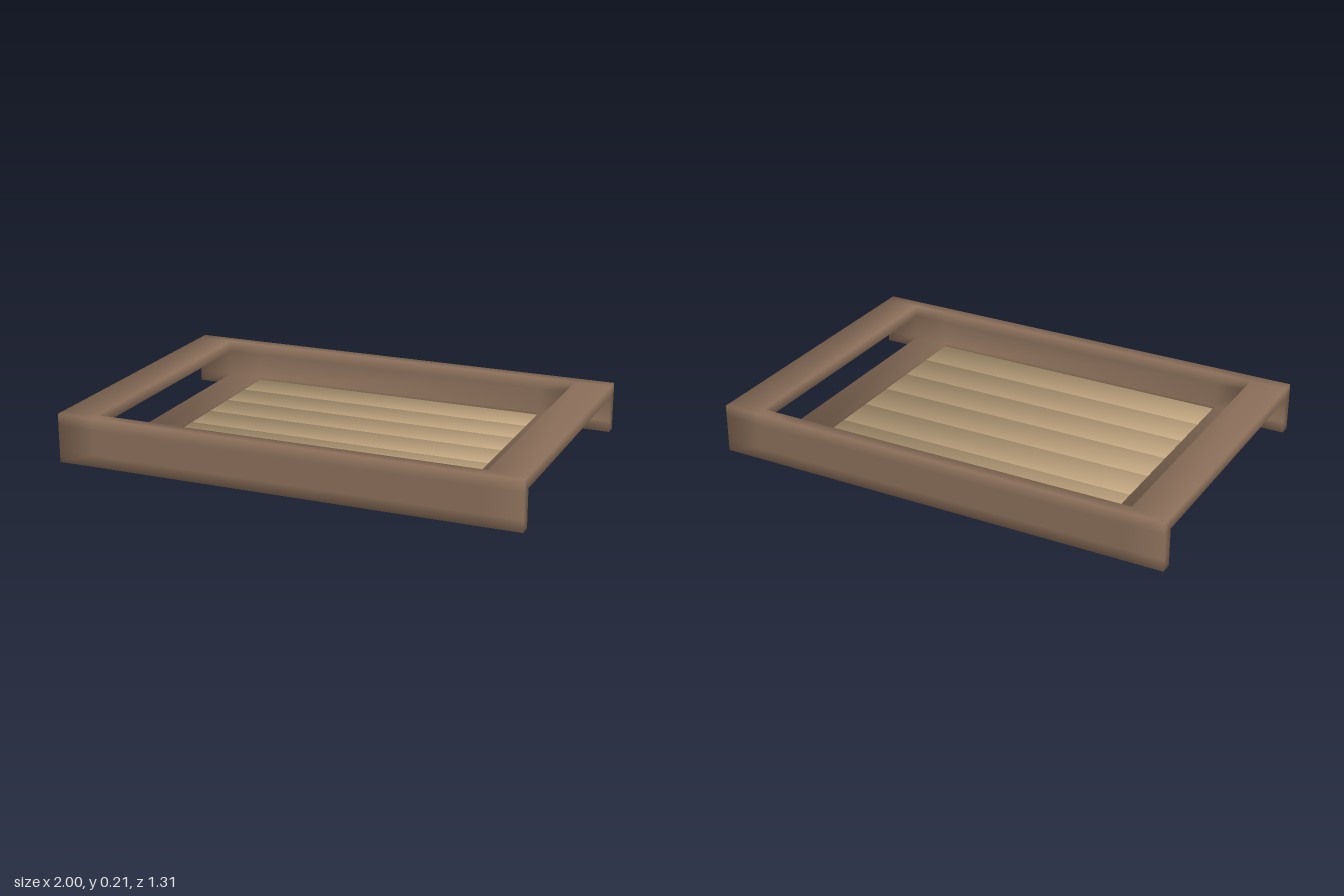
import * as THREE from 'three';

// Builds the outer skin of a block grid; shared corners get averaged, soft normals.
function softBlocks(xs, ys, zs, filled) {
  const cuts = [xs, ys, zs];
  const ids = new Map(), pos = [], nor = [], index = [];
  const solid = (c) => c.every((v, a) => v >= 0 && v < cuts[a].length - 1) && filled(...c);
  const vertex = (corner, axis, dir) => {
    const key = corner.join();
    if (!ids.has(key)) {
      ids.set(key, pos.length / 3);
      pos.push(...corner.map((v, a) => cuts[a][v]));
      nor.push(0, 0, 0);
    }
    const id = ids.get(key);
    nor[id * 3 + axis] += dir;
    return id;
  };
  for (let i = 0; i < xs.length - 1; i++)
    for (let j = 0; j < ys.length - 1; j++)
      for (let k = 0; k < zs.length - 1; k++) {
        const cell = [i, j, k];
        if (!solid(cell)) continue;
        for (let axis = 0; axis < 3; axis++)
          for (const dir of [-1, 1]) {
            const next = [...cell];
            next[axis] += dir;
            if (solid(next)) continue;
            const u = (axis + 1) % 3, v = (axis + 2) % 3;
            const quad = [[0, 0], [1, 0], [1, 1], [0, 1]].map(([du, dv]) => {
              const corner = [...cell];
              corner[axis] += dir > 0 ? 1 : 0;
              corner[u] += du;
              corner[v] += dv;
              return vertex(corner, axis, dir);
            });
            if (dir < 0) quad.reverse();
            const [a, b, c, d] = quad;
            index.push(a, b, c, a, c, d);
          }
      }
  const geometry = new THREE.BufferGeometry();
  geometry.setAttribute('position', new THREE.Float32BufferAttribute(pos, 3));
  geometry.setAttribute('normal', new THREE.Float32BufferAttribute(nor, 3));
  geometry.setIndex(index);
  geometry.normalizeNormals();
  return geometry;
}

export function createModel() {
  const model = new THREE.Group();
  model.name = 'tray';
  const frameWood = new THREE.MeshStandardMaterial({ color: 0x8b6f5a });
  frameWood.name = 'brown wood';
  const slatWood = new THREE.MeshStandardMaterial({ color: 0xc4a882 });
  slatWood.name = 'light wood';

  // Frame: front and back boards, high end handles and low inner rails
  const frame = new THREE.Mesh(
    softBlocks(
      [-1, -0.84, -0.684, 0.684, 0.84, 1],
      [0, 0.05, 0.16, 0.21],
      [-0.657, -0.607, 0.607, 0.657],
      (i, j, k) => {
        const board = k !== 1;
        const handle = (i === 0 || i === 4) && j === 2;
        const rail = (i === 1 || i === 3) && j === 0;
        return board || handle || rail;
      }
    ),
    frameWood
  );
  frame.name = 'frame';
  model.add(frame);

  // Floor: seven slats running between the rails
  const floor = new THREE.Group();
  floor.name = 'floorSlats';
  const count = 7, pitch = 0.172, half = 0.0855;
  const slatGeometry = softBlocks([-0.684, 0.684], [0.01, 0.04], [-half, half], () => true);
  for (let n = 0; n < count; n++) {
    const slat = new THREE.Mesh(slatGeometry, slatWood);
    slat.name = `slat${n + 1}`;
    slat.position.z = (n - (count - 1) / 2) * pitch;
    floor.add(slat);
  }
  model.add(floor);
  return model;
}
